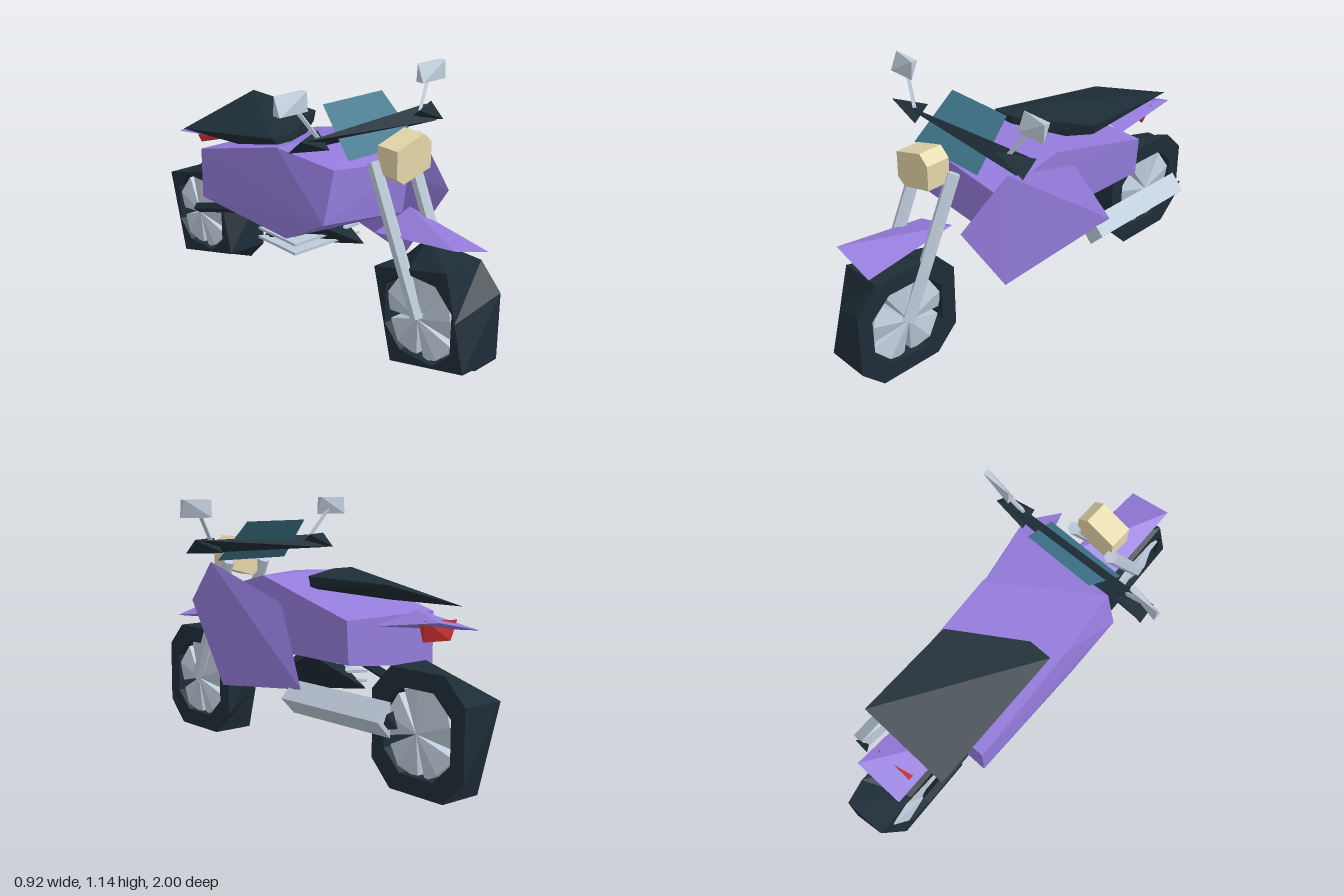
import * as THREE from 'three';
import { ConvexGeometry } from 'three/addons/geometries/ConvexGeometry.js';

const mat = (name, color) => Object.assign(new THREE.MeshStandardMaterial({ color }), { name });

export function createModel() {
  const model = new THREE.Group();
  model.name = 'motorcycle';
  const purple = mat('purple paint', 0x947cdc);
  const dark = mat('dark rubber', 0x1e2d37);
  const grey = mat('grey metal', 0xbecbda);
  const cream = mat('lamp cream', 0xe4d7aa);
  const red = mat('tail light red', 0xd03030);
  const teal = mat('windscreen teal', 0x3e768c);
  teal.side = THREE.DoubleSide;

  const V = (p) => new THREE.Vector3(...p);
  // Every part is faceted
  const add = (name, geometry, material, parent = model) => {
    const g = geometry.index ? geometry.toNonIndexed() : geometry;
    g.computeVertexNormals();
    const mesh = new THREE.Mesh(g, material);
    mesh.name = name;
    parent.add(mesh);
    return mesh;
  };
  const hull = (name, pts, material, parent) => add(name, new ConvexGeometry(pts.map(V)), material, parent);
  // Four-cornered wedge that spans the given limits on each axis
  const wedge = (name, [x0, x1], [y0, y1], [z0, z1], material) =>
    hull(name, [[x1, y1, z0], [x1, y0, z1], [x0, y1, z1], [x0, y0, z0]], material);
  // Straight bar between two points
  const bar = (name, a, b, r, sides, material) => {
    const from = V(a), dir = V(b).sub(from);
    const mesh = add(name, new THREE.CylinderGeometry(r, r, dir.length(), sides), material);
    mesh.position.copy(from).addScaledVector(dir, 0.5);
    mesh.quaternion.setFromUnitVectors(new THREE.Vector3(0, 1, 0), dir.normalize());
  };

  // Tyre outlines as [z, y]: eight corners on the left side, four on the right
  const outer = [[0.145, 0.25], [0.25, 0.145], [0.25, -0.145], [0.145, -0.25],
    [-0.145, -0.25], [-0.25, -0.145], [-0.25, 0.145], [-0.145, 0.25]];
  const inner = [[0.09, 0.175], [0.18, 0.09], [0.18, -0.09], [0.09, -0.175],
    [-0.09, -0.175], [-0.18, -0.09], [-0.18, 0.09], [-0.09, 0.175]];
  // The right side keeps every other corner; the rest move to the edge between
  const square = outer.map((p, i) => {
    const prev = outer[(i + 7) % 8], next = outer[(i + 1) % 8];
    return i % 2 ? [(prev[0] + next[0]) / 2, (prev[1] + next[1]) / 2] : p;
  });
  const rings = [[0.1, inner], [0.1, outer], [-0.1, square], [-0.1, inner], [0.1, inner]];
  const tyreGeometry = () => {
    const v = [];
    for (let r = 0; r < 4; r++) {
      for (let i = 0; i < 8; i++) {
        const at = (ring, k) => [rings[ring][0], rings[ring][1][k % 8][1], rings[ring][1][k % 8][0]];
        const a = at(r, i), b = at(r, i + 1), c = at(r + 1, i + 1), d = at(r + 1, i);
        v.push(...a, ...d, ...c, ...a, ...c, ...b);
      }
    }
    const g = new THREE.BufferGeometry();
    g.setAttribute('position', new THREE.Float32BufferAttribute(v, 3));
    return g;
  };

  // Wheels with an open centre and five ridged blades
  const wheel = (name, z) => {
    const group = new THREE.Group();
    group.name = name;
    group.position.set(0, 0.25, z);
    model.add(group);
    const tyre = add('tyre', tyreGeometry(), dark, group);
    tyre.material.side = THREE.DoubleSide;
    for (let i = 0; i < 5; i++) {
      const at = (x, angle, r) => [x, r * Math.sin(angle), r * Math.cos(angle)];
      const mid = (i * 2 * Math.PI) / 5 + 0.3;
      hull('spokeBlade', [-1, 1].flatMap((s) => [[s * 0.1, 0, 0],
        at(s * 0.07, mid - 0.53, 0.19), at(s * 0.07, mid + 0.53, 0.19),
        at(s * 0.095, mid, 0.18)]), grey, group);
    }
  };
  wheel('frontWheel', 0.75);
  wheel('rearWheel', -0.75);

  // Main body and the single side fairing
  hull('body', [
    [-0.25, 0.68, -0.5], [0.24, 0.68, -0.5], [0.23, 0.5, -0.5], [-0.25, 0.445, -0.5],
    [-0.24, 0.82, 0.04], [0.24, 0.82, 0.04], [-0.24, 0.425, 0.1],
    [-0.2, 0.795, 0.36], [0.235, 0.74, 0.36], [0.22, 0.5, 0.34], [-0.255, 0.57, 0.36],
  ], purple);
  hull('sideFairing', [[0.245, 0.665, 0.58], [0.285, 0.86, 0.365], [0.235, 0.71, -0.08],
    [0.285, 0.375, -0.27], [0.243, 0.295, 0.34]], purple);

  // Seat, a wedge that drops at its right rear corner
  hull('seat', [
    [0.21, 0.835, -0.7], [-0.21, 0.72, -0.7], [0.21, 0.835, -0.23], [0.2, 0.79, -0.23],
    [-0.21, 0.835, -0.03], [-0.1, 0.835, -0.03], [-0.1, 0.72, -0.03],
  ], dark);

  // Tail, with its light reaching through
  wedge('tail', [-0.12, 0.11], [0.65, 0.7], [-0.87, -0.53], purple);
  hull('tailLight', [[-0.095, 0.685, -0.775], [0.085, 0.695, -0.775], [-0.09, 0.67, -0.745],
    [0.08, 0.675, -0.74], [-0.06, 0.605, -0.775], [0.06, 0.605, -0.74]], red);

  // Front mudguard
  wedge('frontMudguard', [-0.1, 0.1], [0.545, 0.605], [0.5, 0.93], purple);

  // Headlight
  const lamp = [[-0.095, 0.8], [-0.055, 0.77], [0.095, 0.81], [0.095, 0.92], [0.05, 0.96], [-0.095, 0.915]];
  add('headlight', new THREE.ExtrudeGeometry(
    new THREE.Shape(lamp.map((p) => new THREE.Vector2(...p))),
    { depth: 0.11, bevelEnabled: false }).translate(0, 0, 0.5), cream);

  // Windscreen
  const screen = new THREE.PlaneGeometry(1, 1);
  const pos = screen.attributes.position;
  for (let i = 0; i < 4; i++) {
    const top = pos.getY(i) > 0;
    pos.setXYZ(i, Math.sign(pos.getX(i)) * (top ? 0.165 : 0.195), top ? 1.04 : 0.855, top ? 0.25 : 0.44);
  }
  add('windscreen', screen, teal);

  // Handlebar, and the mirrored forks, grips and mirrors
  wedge('handlebar', [-0.36, 0.36], [0.9, 0.96], [0.32, 0.385], dark);
  for (const s of [-1, 1]) {
    const span = (a, b) => (s > 0 ? [a, b] : [-b, -a]);
    bar('fork', [s * 0.103, 0.255, 0.755], [s * 0.103, 0.845, 0.485], 0.029, 6, grey);
    wedge('grip', span(0.25, 0.4), [0.9, 0.965], [0.315, 0.39], dark);
    bar('mirrorStem', [s * 0.285, 0.95, 0.36], [s * 0.375, 1.085, 0.32], 0.01, 4, grey);
    const [m0, m1] = span(0.32, 0.46);
    hull('mirror', [[m0, 1.14, 0.305], [m1, 1.14, 0.305], [m0, 1.06, 0.34], [m1, 1.06, 0.34],
      [m0, 1.06, 0.3], [m1, 1.14, 0.335]], grey);
  }

  // Swing arm on the right
  bar('swingArm', [-0.12, 0.44, -0.2], [-0.115, 0.28, -0.75], 0.024, 4, dark);

  // Engine block with triangular cooling fins
  wedge('engine', [-0.165, 0.165], [0.305, 0.5], [-0.18, 0.16], dark);
  for (const y of [0.335, 0.378, 0.42, 0.463]) {
    hull('coolingFin', [y - 0.006, y + 0.006].flatMap((h) =>
      [[-0.19, h, -0.16], [-0.19, h, 0.1], [0.19, h, 0.1]]), grey);
  }

  // Exhaust with a dark outlet
  hull('exhaust', [
    [0.25, 0.4, -0.185], [0.32, 0.33, -0.185], [0.253, 0.26, -0.185], [0.19, 0.325, -0.185],
    [0.25, 0.4, -0.76], [0.317, 0.33, -0.76], [0.25, 0.26, -0.76],
  ], grey);
  wedge('exhaustOutlet', [0.225, 0.285], [0.295, 0.36], [-0.775, -0.75], dark);

  return model;
}
